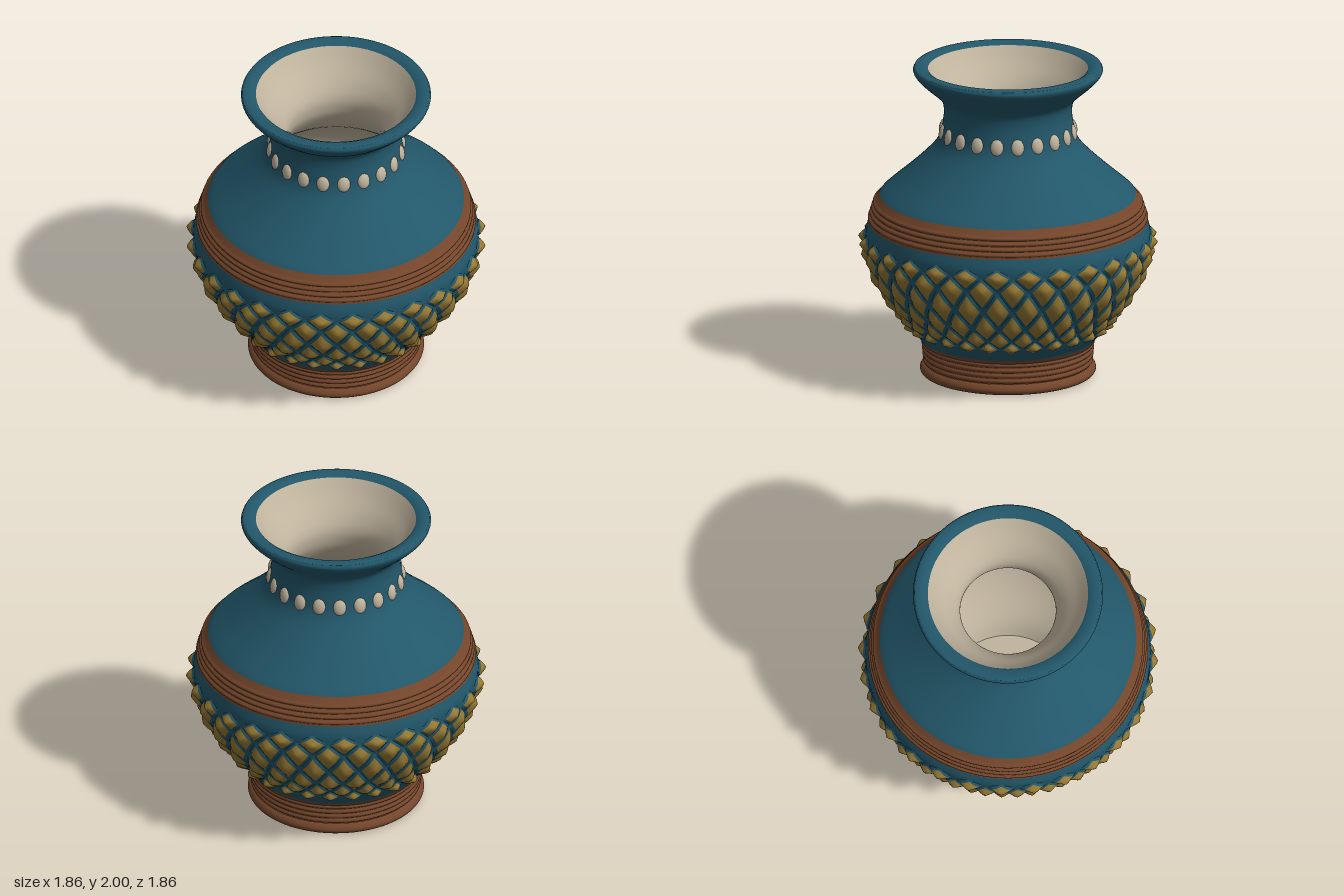
import * as THREE from 'three';
import { mergeGeometries } from 'three/addons/utils/BufferGeometryUtils.js';

const SEGMENTS = 72;
const COLUMNS = 28;
const BEADS = 20;

const material = (color) => new THREE.MeshStandardMaterial({ color, side: THREE.DoubleSide });
const teal = material(0x22576a);
const brown = material(0x74462b);
const gold = material(0x947733);
const cream = material(0xc0b49e);

const toPoints = (list) => list.map(([r, y]) => new THREE.Vector2(r, y));
const smooth = (list, n = 40) => new THREE.SplineCurve(toPoints(list)).getPoints(n);

function addMesh(group, name, geometry, mat) {
  const mesh = new THREE.Mesh(geometry, mat);
  mesh.name = name;
  group.add(mesh);
  return mesh;
}

const addLathe = (group, name, points, mat) =>
  addMesh(group, name, new THREE.LatheGeometry(points, SEGMENTS), mat);

// Wall of the belly underneath the raised diamonds
const belly = [[0.535, 0.21], [0.56, 0.25], [0.6, 0.3], [0.665, 0.4], [0.74, 0.5], [0.8, 0.6],
  [0.845, 0.7], [0.875, 0.8], [0.888, 0.87], [0.888, 0.93], [0.872, 0.99]];

function bellyRadius(y) {
  let i = 0;
  while (i < belly.length - 2 && y > belly[i + 1][1]) i++;
  const [r0, y0] = belly[i], [r1, y1] = belly[i + 1];
  return r0 + (r1 - r0) * (y - y0) / (y1 - y0);
}

// Band with even horizontal ridges between two points of the wall
function ridged([r0, y0], [r1, y1], ridges, depth) {
  const points = [];
  const n = ridges * 6;
  for (let i = 0; i <= n; i++) {
    const t = i / n;
    const wave = depth * Math.abs(Math.sin(Math.PI * ridges * t));
    points.push(new THREE.Vector2(r0 + (r1 - r0) * t + wave, y0 + (y1 - y0) * t));
  }
  return points;
}

// One pillow-shaped diamond on the belly; size trims it towards its centre
function diamond(angle, low, mid, high, size, lift) {
  const n = 6, positions = [], index = [];
  for (let i = 0; i <= n; i++) {
    for (let j = 0; j <= n; j++) {
      const s = (i / n * 2 - 1) * size, t = (j / n * 2 - 1) * size;
      const u = (s - t) / 2;
      const y = mid + u * (u > 0 ? high - mid : mid - low);
      const a = angle + (s + t) / 2 * Math.PI / COLUMNS;
      const bulge = (1 - Math.abs(s) ** 1.4) * (1 - Math.abs(t) ** 1.4);
      const r = bellyRadius(y) + 0.002 + lift + 0.046 * bulge;
      positions.push(r * Math.sin(a), y, r * Math.cos(a));
      if (i < n && j < n) {
        const k = i * (n + 1) + j;
        index.push(k, k + 1, k + n + 1, k + 1, k + n + 2, k + n + 1);
      }
    }
  }
  const geometry = new THREE.BufferGeometry();
  geometry.setAttribute('position', new THREE.Float32BufferAttribute(positions, 3));
  geometry.setIndex(index);
  geometry.computeVertexNormals();
  return geometry;
}

function diamondPattern(size, lift) {
  const levels = [0.29, 0.33, 0.39, 0.49, 0.63, 0.775, 0.87, 0.93];
  const parts = [];
  for (let row = 1; row < levels.length - 1; row++) {
    for (let c = 0; c < COLUMNS; c++) {
      const angle = (c + (row % 2 ? 0 : 0.5)) * 2 * Math.PI / COLUMNS;
      parts.push(diamond(angle, levels[row - 1], levels[row], levels[row + 1], size, lift));
    }
  }
  return mergeGeometries(parts);
}

export function createModel() {
  const vase = new THREE.Group();
  vase.name = 'vase';

  // Foot
  addLathe(vase, 'footUnderside', toPoints([[0, 0], [0.49, 0]]), brown);
  addLathe(vase, 'footRim', smooth([[0.49, 0], [0.535, 0.01], [0.55, 0.035], [0.54, 0.06], [0.522, 0.075]], 16), brown);
  addLathe(vase, 'footRidges', ridged([0.518, 0.075], [0.528, 0.215], 4, 0.013), brown);
  addLathe(vase, 'footCollar', toPoints([[0.528, 0.205], [0.537, 0.213], [0.551, 0.235]]), brown);

  // Belly and its diamond relief
  addLathe(vase, 'belly', smooth(belly), teal);
  addMesh(vase, 'diamondEdges', diamondPattern(1, 0), teal);
  addMesh(vase, 'diamondFaces', diamondPattern(0.76, 0.002), gold);

  // Ridged band around the widest part
  addLathe(vase, 'shoulderBand', [
    new THREE.Vector2(0.872, 0.985),
    ...ridged([0.866, 1.0], [0.825, 1.13], 4, 0.014),
    new THREE.Vector2(0.8, 1.165),
  ], brown);

  // Shoulder, neck and flared lip
  addLathe(vase, 'shoulderAndNeck', smooth([[0.8, 1.165], [0.765, 1.2], [0.66, 1.29], [0.55, 1.39],
    [0.465, 1.48], [0.425, 1.55], [0.41, 1.62], [0.4, 1.7], [0.41, 1.77], [0.45, 1.82],
    [0.52, 1.88], [0.575, 1.935], [0.593, 1.97], [0.585, 1.992]], 60), teal);
  addLathe(vase, 'rim', toPoints([[0.585, 1.992], [0.57, 2], [0.53, 1.998], [0.5, 1.98]]), teal);

  // Hollow inside
  addLathe(vase, 'interior', smooth([[0.5, 1.98], [0.44, 1.9], [0.36, 1.81], [0.31, 1.73], [0.3, 1.65],
    [0.33, 1.55], [0.44, 1.4], [0.66, 1.2], [0.76, 1.0], [0.75, 0.75], [0.63, 0.48],
    [0.46, 0.25], [0.4, 0.12]], 60), cream);
  addLathe(vase, 'interiorFloor', toPoints([[0.4, 0.12], [0, 0.12]]), cream);

  // Ring of beads around the neck
  const beads = [];
  for (let i = 0; i < BEADS; i++) {
    const bead = new THREE.SphereGeometry(1, 12, 8);
    bead.scale(0.043, 0.056, 0.026);
    bead.rotateX(-0.2);
    bead.translate(0, 1.58, 0.41);
    bead.rotateY((i + 0.5) * 2 * Math.PI / BEADS);
    beads.push(bead);
  }
  addMesh(vase, 'neckBeads', mergeGeometries(beads), cream);

  return vase;
}
